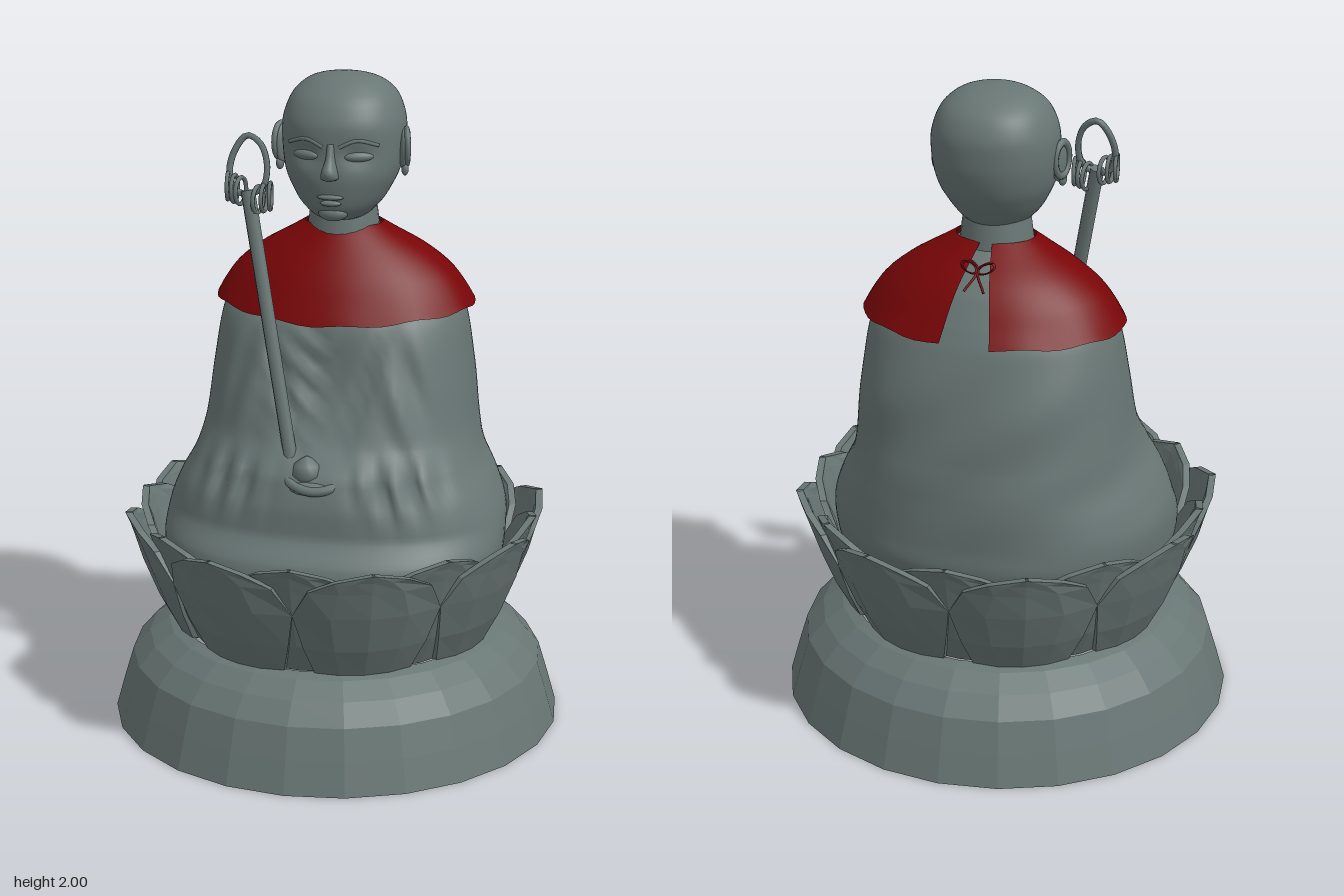
import * as THREE from 'three';

const stone = new THREE.MeshStandardMaterial({ color: 0x687674, side: THREE.DoubleSide });
stone.name = 'grey stone';
const red = new THREE.MeshStandardMaterial({ color: 0x780507, side: THREE.DoubleSide });
red.name = 'red cloth';

const V = (x, y, z) => new THREE.Vector3(x, y, z);
const bump = (d, w) => Math.exp(-(d * d) / (w * w));

function add(parent, name, geo, mat = stone, pos = [0, 0, 0], scale = [1, 1, 1], rot = [0, 0, 0]) {
  const m = new THREE.Mesh(geo, mat);
  m.name = name;
  m.position.set(...pos);
  m.scale.set(...scale);
  m.rotation.set(...rot);
  parent.add(m);
  return m;
}

// Skin a stack of point loops, listed bottom to top
function skin(loops, closed, flat = false) {
  const n = loops[0].length, idx = [], pos = [];
  loops.forEach(l => l.forEach(p => pos.push(p.x, p.y, p.z)));
  for (let i = 0; i < loops.length - 1; i++) {
    for (let j = 0; j < (closed ? n : n - 1); j++) {
      const k = (j + 1) % n, a = i * n + j, b = i * n + k;
      idx.push(a, b, a + n, b, b + n, a + n);
    }
  }
  let g = new THREE.BufferGeometry();
  g.setAttribute('position', new THREE.Float32BufferAttribute(pos, 3));
  g.setIndex(idx);
  if (flat) g = g.toNonIndexed();
  g.computeVertexNormals();
  return g;
}

// Loft rounded cross-sections [y, half width, front z, back z, squareness]
function loft(rings, rows, seg, rule = p => p, gap = () => 0) {
  const c1 = new THREE.CatmullRomCurve3(rings.map(r => V(r[0], r[1], r[4] || 2)));
  const c2 = new THREE.CatmullRomCurve3(rings.map(r => V(r[2], r[3], 0)));
  const loops = [], closed = gap(0) === 0;
  for (let i = 0; i <= rows; i++) {
    const u = i / rows, a = c1.getPoint(u), b = c2.getPoint(u), e = 2 / a.z, loop = [];
    const half = Math.PI - gap(u);
    for (let j = 0; j < (closed ? seg : seg + 1); j++) {
      const t = -half + (2 * half * j) / seg, s = Math.sin(t), c = Math.cos(t);
      const p = V(a.y * Math.sign(s) * Math.abs(s) ** e, a.x,
        (b.x + b.y) / 2 + ((b.x - b.y) / 2) * Math.sign(c) * Math.abs(c) ** e);
      loop.push(rule(p, t, u));
    }
    loops.push(loop);
  }
  return skin(loops, closed);
}

// Petal plate: rows of [y, radius, half angle], its edges drawn in towards the axis
function petalGeometry(inset) {
  const rows = [[.305, .505, 17], [.4, .555, 20], [.52, .603, 22.5], [.61, .63, 17.5], [.65, .643, 10], [.675, .655, 0.3]];
  return skin(rows.map(([y, r, deg]) => {
    const loop = [];
    for (const [side, off] of [[1, 0], [-1, .022]]) {
      for (let k = -2; k <= 2; k++) {
        const a = side * k / 2 * deg * Math.PI / 180, q = r - inset - off - .025 * (k * deg / 45) ** 2;
        loop.push(V(q * Math.sin(a), y, q * Math.cos(a)));
      }
    }
    return loop;
  }), true, true);
}

function buildPedestal(root) {
  const profile = [[.695, 0], [.667, .1], [.638, .195], [.585, .255], [.525, .297], [.49, .31]].map(p => new THREE.Vector2(...p));
  const base = new THREE.LatheGeometry(profile, 24).toNonIndexed();
  base.computeVertexNormals();
  add(root, 'pedestal', base);
  const lotus = new THREE.Group();
  lotus.name = 'lotus';
  const outer = petalGeometry(0), inner = petalGeometry(.03);
  for (let i = 0; i < 16; i++) {
    add(lotus, i % 2 ? 'outerPetal' : 'innerPetal', i % 2 ? outer : inner).rotation.y = i * Math.PI / 8;
  }
  root.add(lotus);
}

function buildRobe(root) {
  const rings = [
    [.42, .02, .02, -.02], [.425, .43, .38, -.4, 2.2], [.5, .505, .435, -.47, 2.3], [.6, .525, .42, -.5, 2.4],
    [.68, .52, .365, -.5, 2.4], [.76, .49, .36, -.5, 2.4], [.85, .443, .335, -.495, 2.4], [.94, .42, .27, -.48, 2.4],
    [1.1, .4, .22, -.455, 2.4], [1.25, .378, .17, -.41, 2.3], [1.33, .35, .12, -.375, 2.1], [1.41, .3, .08, -.325, 2],
    [1.48, .2, .02, -.26, 2], [1.52, .12, -.01, -.21, 2], [1.54, .02, -.08, -.12, 2]];
  // Knees spread forward; draped sleeves, crossed collar and sagging back cloth
  const folds = p => {
    const x = Math.abs(p.x), y = p.y;
    p.x *= 1 + .16 * p.z * bump(y - .55, .35);
    if (p.z > .02) {
      p.z += bump(y - .82, .075) * bump(x - .24, .11) * (.028 * Math.sin(x * 75 + y * 18) - .014);
      const chest = bump(y - 1.12, .16);
      p.z -= chest * (.04 * bump(x, .12) + .022 * bump(x - .07 - (y - .95) * .35, .018));
      p.z += chest * .01 * Math.sin((y - x * .8) * 70) * bump(x, .13);
      p.z += .015 * Math.sin((x * .8 + y * .35) * 60) * bump(x - .25, .06) * bump(y - 1.08, .16);
    } else if (y > .6 && y < 1.4) {
      p.z += .004 * Math.sin(y * 24 + p.x * 14) * bump(y - 1.02, .3) * Math.min(1, -p.z * 4);
    }
    return p;
  };
  add(root, 'robe', loft(rings, 84, 112, folds));
}

function buildBib(root) {
  const rings = [
    [1.3, .4, .168, -.425], [1.35, .372, .138, -.392], [1.4, .335, .108, -.362],
    [1.46, .262, .065, -.315], [1.52, .16, .015, -.24], [1.545, .12, -.01, -.205]];
  const sag = (p, t, u) => {
    p.y += (1 - u) ** 3 * (-.02 * bump(t, .7) + .004 * Math.sin(t * 11));
    return p;
  };
  add(root, 'bib', loft(rings, 16, 56, sag, u => .19 - u * .04), red);
  // Tied strings at the nape
  for (const s of [-1, 1]) {
    add(root, 'bowLoop', new THREE.TorusGeometry(.022, .004, 5, 12), red, [s * .026, 1.495, -.285], [1.2, .6, 1], [.5, 0, s * .5]);
    const tail = new THREE.CatmullRomCurve3([V(s * .05, 1.51, -.24), V(0, 1.49, -.283), V(s * .03, 1.435, -.325)]);
    add(root, 'bowString', new THREE.TubeGeometry(tail, 10, .004, 5), red);
  }
}

function buildHead(root) {
  const head = new THREE.Group();
  head.name = 'head';
  const ball = new THREE.SphereGeometry(1, 20, 14);
  const rings = [
    [1.565, .02, -.03, -.1], [1.575, .075, .03, -.17], [1.61, .115, .07, -.215], [1.66, .148, .084, -.25, 2.1],
    [1.72, .173, .09, -.28, 2.2], [1.79, .184, .084, -.298, 2.2], [1.86, .184, .08, -.3, 2.2], [1.92, .165, .052, -.28, 2.2],
    [1.965, .128, .005, -.235, 2.1], [1.99, .075, -.04, -.175], [2, .001, -.1, -.102]];
  // Shallow eye sockets
  const sockets = p => {
    if (p.z > 0) p.z -= .014 * bump(Math.abs(p.x) - .075, .045) * bump(p.y - 1.775, .03);
    return p;
  };
  add(head, 'skull', loft(rings, 44, 56, sockets));
  add(head, 'neck', new THREE.CylinderGeometry(.098, .115, .13, 24, 1, true), stone, [0, 1.555, -.1]);
  const nose = loft([[1.705, .006, .1, .06], [1.714, .026, .122, .06], [1.735, .024, .13, .06],
    [1.77, .014, .106, .06], [1.815, .011, .088, .06]], 12, 16);
  add(head, 'nose', nose);
  add(head, 'upperLip', ball, stone, [0, 1.655, .084], [.04, .008, .013]);
  add(head, 'lowerLip', ball, stone, [0, 1.636, .08], [.032, .009, .013]);
  add(head, 'chin', ball, stone, [0, 1.6, .045], [.045, .025, .03]);
  for (const s of [-1, 1]) {
    add(head, 'eyelid', ball, stone, [s * .08, 1.775, .055], [.045, .015, .016], [0, s * .4, 0]);
    const brow = new THREE.CatmullRomCurve3([V(s * .025, 1.805, .079), V(s * .075, 1.825, .068), V(s * .135, 1.808, .033)]);
    add(head, 'brow', new THREE.TubeGeometry(brow, 12, .006, 6), stone);
    const ear = new THREE.Group();
    ear.name = 'ear';
    ear.position.set(s * .185, 1.775, -.085);
    ear.rotation.y = s * .3;
    add(ear, 'earBody', ball, stone, [0, 0, 0], [.014, .062, .036]);
    add(ear, 'earRim', new THREE.TorusGeometry(.036, .009, 8, 20), stone, [s * .01, .008, 0], [1, 1.4, 1], [0, Math.PI / 2, 0]);
    add(ear, 'earLobe', ball, stone, [s * .004, -.058, .012], [.011, .02, .016]);
    head.add(ear);
  }
  root.add(head);
}

function buildHands(root) {
  const ball = new THREE.SphereGeometry(1, 18, 12);
  add(root, 'palms', ball, stone, [-.005, .825, .315], [.08, .025, .04]);
  const rim = new THREE.CatmullRomCurve3([V(-.095, .87, .28), V(-.065, .84, .33), V(0, .825, .352), V(.05, .83, .34), V(.085, .845, .3)]);
  add(root, 'fingers', new THREE.TubeGeometry(rim, 20, .014, 8));
  const jewel = [[0, -.045], [.03, -.034], [.047, -.005], [.038, .025], [.014, .042], [0, .05]].map(p => new THREE.Vector2(...p));
  add(root, 'jewel', new THREE.LatheGeometry(jewel, 14), stone, [-.022, .868, .295]);
}

function buildStaff(root) {
  const staff = new THREE.Group();
  staff.name = 'staff';
  const foot = V(-.064, .825, .28), top = V(-.234, 1.68, .15);
  const shaft = add(staff, 'shaft', new THREE.CylinderGeometry(.022, .021, foot.distanceTo(top), 8));
  shaft.position.copy(foot).lerp(top, .5);
  shaft.quaternion.setFromUnitVectors(V(0, 1, 0), top.clone().sub(foot).normalize());
  // Pointed hoop with hanging rings
  const hoop = new THREE.CatmullRomCurve3([V(-.234, 1.665, .15), V(-.275, 1.68, .147), V(-.292, 1.735, .138), V(-.275, 1.8, .126),
    V(-.242, 1.838, .118), V(-.2, 1.815, .124), V(-.178, 1.75, .136), V(-.19, 1.69, .147), V(-.234, 1.665, .15)]);
  add(staff, 'hoop', new THREE.TubeGeometry(hoop, 32, .01, 6));
  for (const s of [-1, 1]) {
    for (let i = 0; i < 3; i++) {
      add(staff, 'hangingRing', new THREE.TorusGeometry(.04, .0065, 6, 18), stone,
        [-.23 + s * (.026 + i * .019), 1.665 - s * .012 + i * .006, .148], [1, 1, 1], [0, Math.PI / 2 + (i - 1) * .15, -.15]);
    }
  }
  root.add(staff);
}

export function createModel() {
  const root = new THREE.Group();
  root.name = 'seatedStatue';
  [buildPedestal, buildRobe, buildBib, buildHead, buildHands, buildStaff].forEach(build => build(root));
  return root;
}
